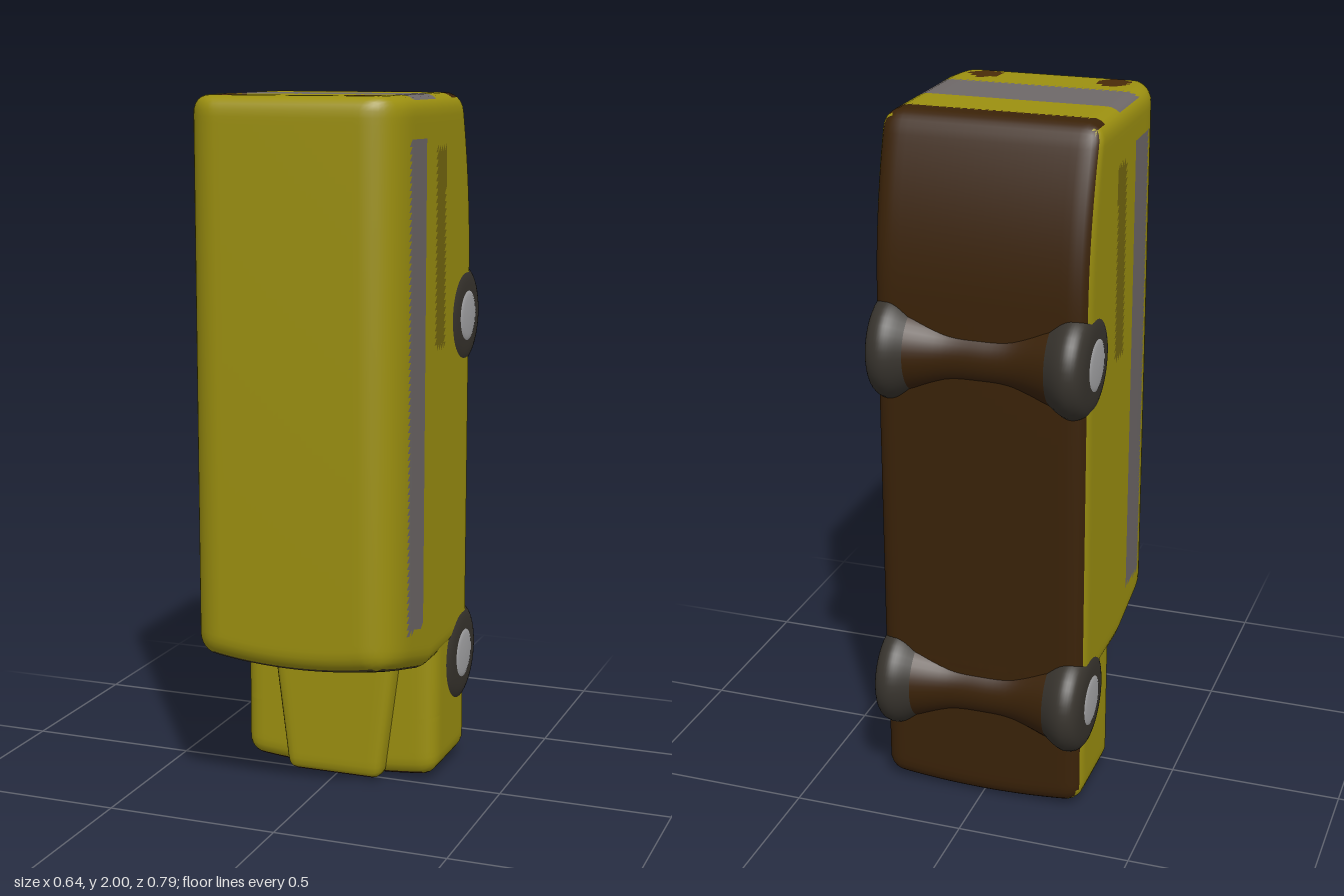
import * as THREE from 'three';
import { mergeVertices } from 'three/addons/utils/BufferGeometryUtils.js';

const material = (color) => new THREE.MeshStandardMaterial({ color, roughness: 0.9 });
const paints = {
  paint: material(0x9c9010),
  underside: material(0x3a2208),
  windows: material(0x6e6868),
  rail: material(0x75680f),
  windscreen: material(0x4a4124),
  lights: material(0x4a2c08),
  tyre: material(0x38342e),
  hub: material(0xa6a6a8),
};

// Dense box with rounded edges, bent by a rule and split into painted meshes
function shell(name, min, max, radius, bend, paintAt) {
  const size = max.map((m, i) => m - min[i]);
  const seg = size.map((s) => Math.ceil(s / 0.02));
  let geo = new THREE.BoxGeometry(...size, ...seg);
  geo.translate(...max.map((m, i) => (m + min[i]) / 2));
  geo.deleteAttribute('uv');
  geo.deleteAttribute('normal');
  geo = mergeVertices(geo, 1e-4);

  const pos = geo.attributes.position;
  const lo = new THREE.Vector3(...min).addScalar(radius);
  const hi = new THREE.Vector3(...max).subScalar(radius);
  const p = new THREE.Vector3();
  const inner = new THREE.Vector3();
  for (let i = 0; i < pos.count; i++) {
    p.fromBufferAttribute(pos, i);
    inner.copy(p).clamp(lo, hi);
    p.sub(inner).setLength(radius).add(inner);
    bend(p);
    pos.setXYZ(i, p.x, p.y, p.z);
  }
  geo.computeVertexNormals();

  // Sort the faces by paint; the pieces share vertices and normals
  const pieces = {};
  const [a, b, c, n] = [0, 1, 2, 3].map(() => new THREE.Vector3());
  const tri = new THREE.Triangle(a, b, c);
  const index = geo.index.array;
  for (let i = 0; i < index.length; i += 3) {
    const ids = [index[i], index[i + 1], index[i + 2]];
    [a, b, c].forEach((v, k) => v.fromBufferAttribute(pos, ids[k]));
    tri.getNormal(n);
    tri.getMidpoint(p);
    (pieces[paintAt(p, n)] ??= []).push(...ids);
  }
  const group = new THREE.Group();
  group.name = name;
  for (const [key, ids] of Object.entries(pieces)) {
    const part = new THREE.BufferGeometry();
    part.setAttribute('position', pos);
    part.setAttribute('normal', geo.attributes.normal);
    part.setIndex(ids);
    const mesh = new THREE.Mesh(part, paints[key]);
    mesh.name = `${name} ${key}`;
    group.add(mesh);
  }
  return group;
}

// Passenger cabin: sloped windscreen end, rounded roof, rising tail
function bendCabin(p) {
  const bottom = 0.355 + 0.25 * Math.max(0, p.z - 0.06) + 0.3 * p.x * p.x;
  p.y = 2 - (2 - p.y) * (2 - bottom) / (2 - 0.36);
  if (p.z > 0.22) p.x *= 1 - 0.17 * ((p.z - 0.22) / 0.17) ** 3;
  if (p.y > 1.5 && p.z < 0) p.z *= 1 - 0.34 * ((p.y - 1.5) / 0.5) ** 2;
}

function paintCabin(p, n) {
  const within = (v, low, high) => v > low && v < high;
  if (n.z < -0.6) return 'underside';
  if (n.y > 0.75) {
    if (p.z < -0.13) return 'underside';
    if (Math.hypot(Math.abs(p.x) - 0.19, p.z - 0.3) < 0.045) return 'lights';
    if (within(p.z, 0.01, 0.2)) return 'windows';
  }
  if (n.y < -0.75) return 'windscreen';
  if (Math.abs(n.x) > 0.8) {
    if (within(p.z, 0.13, 0.26) && within(p.y, 0.53, 1.88)) return 'windows';
    if (within(p.z, -0.04, 0.04) && within(p.y, 1.3, 1.85)) return 'rail';
  }
  return 'paint';
}

const paintNose = (p, n) => (n.z < -0.6 || n.y < -0.75 ? 'underside' : 'paint');

function lathe(name, points, paint) {
  const profile = new THREE.SplineCurve(points.map(([r, h]) => new THREE.Vector2(r, h)));
  const geo = new THREE.LatheGeometry(profile.getPoints(20), 40);
  const mesh = new THREE.Mesh(geo, paints[paint]);
  mesh.name = name;
  return mesh;
}

// Axle swelling into a soft wheel and hub on each side
function wheelPair(name, y) {
  const group = new THREE.Group();
  group.name = name;
  const axle = lathe('axle', [[0.125, -0.2], [0.095, -0.1], [0.09, 0], [0.095, 0.1], [0.125, 0.2]], 'underside');
  axle.rotation.z = -Math.PI / 2;
  group.add(axle);
  for (const side of [-1, 1]) {
    const wheel = new THREE.Group();
    wheel.name = side > 0 ? 'leftWheel' : 'rightWheel';
    wheel.add(
      lathe('tyre', [[0.125, 0.2], [0.148, 0.235], [0.155, 0.265], [0.142, 0.295], [0.11, 0.309], [0.06, 0.312]], 'tyre'),
      lathe('hub', [[0.082, 0.306], [0.065, 0.314], [0.035, 0.317], [0, 0.318]], 'hub'),
    );
    wheel.rotation.z = -side * Math.PI / 2;
    group.add(wheel);
  }
  group.position.set(0, y, -0.24);
  return group;
}

export function createModel() {
  const model = new THREE.Group();
  model.name = 'bus standing on its nose';
  model.add(shell('cabin', [-0.305, 0.36, -0.31], [0.305, 2, 0.39], 0.05, bendCabin, paintCabin));

  // Fenders and grille block, slightly bowed at the end
  model.add(shell('fenders', [-0.3, 0.005, -0.31], [0.3, 0.5, 0], 0.05, (p) => {
    if (p.y < 0.2) p.y += 0.22 * p.x * p.x;
  }, paintNose));

  // Raised bonnet, narrowing towards the end
  model.add(shell('bonnet', [-0.2, 0.01, -0.2], [0.2, 0.46, 0.05], 0.035, (p) => {
    p.x *= 0.72 + 0.65 * Math.min(p.y, 0.43);
  }, paintNose));

  model.add(wheelPair('frontWheels', 0.34), wheelPair('rearWheels', 1.36));
  return model;
}
